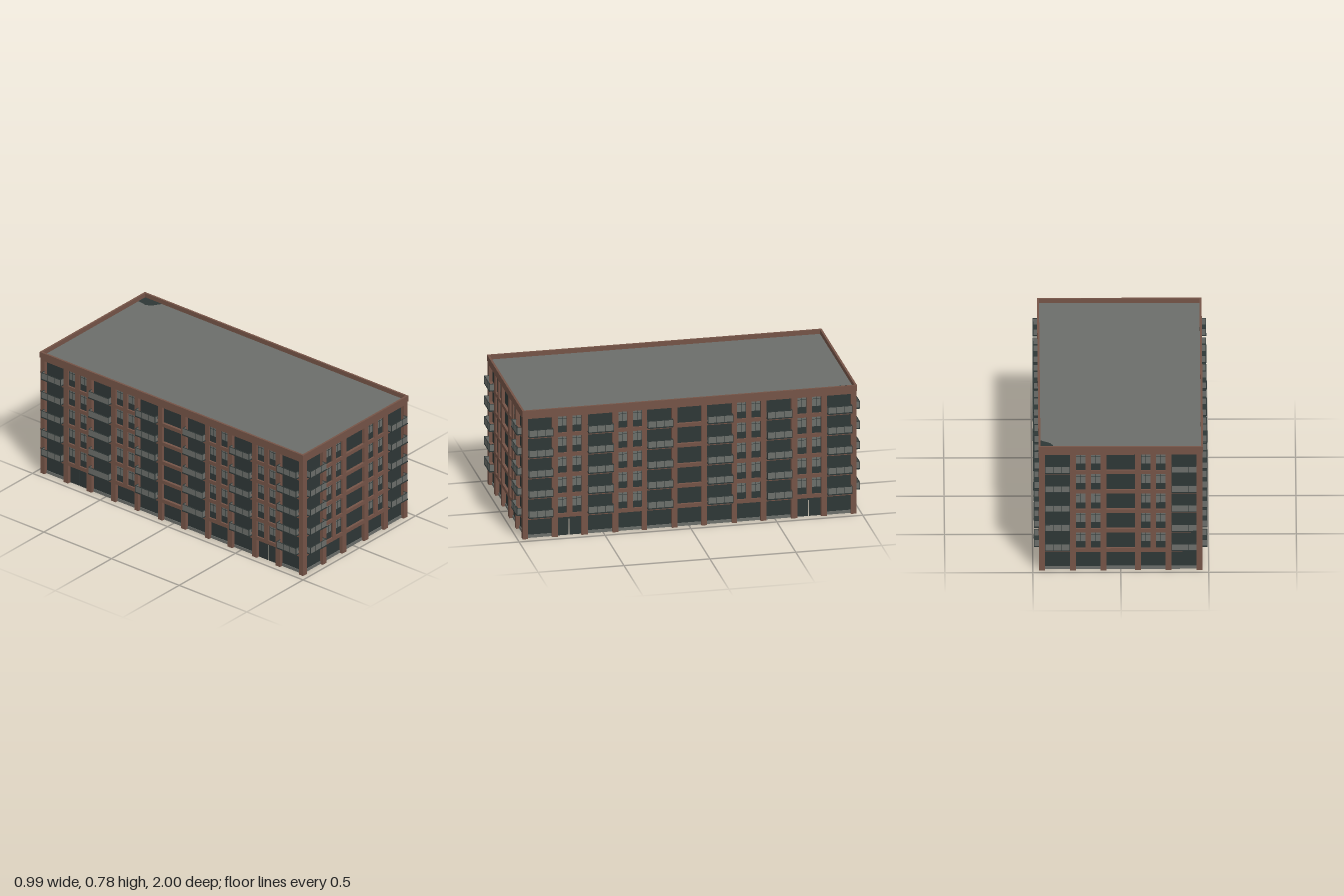
import * as THREE from 'three';
import { mergeGeometries } from 'three/addons/utils/BufferGeometryUtils.js';

const brick = new THREE.MeshStandardMaterial({ color: 0x755447 });
const dark = new THREE.MeshStandardMaterial({ color: 0x2e3736 });
const grey = new THREE.MeshStandardMaterial({ color: 0x6b6e6a });
brick.name = 'brick';
dark.name = 'darkGlass';
grey.name = 'paleGrey';

const HX = 0.465, HZ = 0.971, WALL = 0.028;
const ROOF_Y = 0.75, TOP = 0.78;
const FLOORS = 5, FLOOR_BASE = 0.132, FLOOR_STEP = 0.1225;
const OPEN_LOW = 0.007, OPEN_HIGH = 0.107;
const SHOP_TOP = 0.116, PLINTH = 0.018;

// box given by its limits
function box(x0, x1, y0, y1, z0, z1) {
  const g = new THREE.BoxGeometry(x1 - x0, y1 - y0, z1 - z0);
  return g.translate((x0 + x1) / 2, (y0 + y1) / 2, (z0 + z1) / 2);
}

// mirrors a list of bays about the middle of the wall
function mirrored(bays) {
  return bays.flatMap(b => (b.x === 0 ? [b] : [b, { ...b, x: -b.x }])).sort((a, b) => a.x - b.x);
}

const endWall = {
  half: HX,
  upper: mirrored([
    { x: 0, w: 0.16, type: 'panel' },
    { x: 0.1425, w: 0.055, type: 'window' },
    { x: 0.2275, w: 0.055, type: 'window' },
    { x: 0.36, w: 0.141, type: 'balcony' }
  ]),
  ground: mirrored([
    { x: 0, w: 0.16 }, { x: 0.185, w: 0.14 }, { x: 0.36, w: 0.141 }
  ])
};

const longWall = {
  half: HZ - WALL,
  upper: mirrored([
    { x: 0, w: 0.14, type: 'panel' },
    { x: 0.175, w: 0.145, type: 'balcony' },
    { x: 0.3025, w: 0.053, type: 'window' },
    { x: 0.3875, w: 0.053, type: 'window' },
    { x: 0.52, w: 0.145, type: 'balcony' },
    { x: 0.655, w: 0.053, type: 'window' },
    { x: 0.74, w: 0.053, type: 'window' },
    { x: 0.87, w: 0.14, type: 'balcony' }
  ]),
  ground: mirrored([
    { x: 0, w: 0.14 }, { x: 0.175, w: 0.145 }, { x: 0.345, w: 0.138 },
    { x: 0.52, w: 0.145 }, { x: 0.6975, w: 0.138, door: true }, { x: 0.87, w: 0.14 }
  ])
};

// brick wall with window holes and ground floor notches, outer face at z = 0
function wallGeometry({ half, upper, ground }) {
  const s = new THREE.Shape();
  s.moveTo(-half, 0);
  for (const { x, w } of ground) {
    s.lineTo(x - w / 2, 0);
    s.lineTo(x - w / 2, SHOP_TOP);
    s.lineTo(x + w / 2, SHOP_TOP);
    s.lineTo(x + w / 2, 0);
  }
  s.lineTo(half, 0);
  s.lineTo(half, ROOF_Y);
  s.lineTo(-half, ROOF_Y);
  s.closePath();
  for (let f = 0; f < FLOORS; f++) {
    const y = FLOOR_BASE + f * FLOOR_STEP;
    for (const { x, w } of upper) {
      const h = new THREE.Path();
      h.moveTo(x - w / 2, y + OPEN_LOW);
      h.lineTo(x - w / 2, y + OPEN_HIGH);
      h.lineTo(x + w / 2, y + OPEN_HIGH);
      h.lineTo(x + w / 2, y + OPEN_LOW);
      h.closePath();
      s.holes.push(h);
    }
  }
  return new THREE.ExtrudeGeometry(s, { depth: WALL, bevelEnabled: false }).translate(0, 0, -WALL);
}

function createFacade(name, spec) {
  const parts = {
    darkPanels: [], windowPanes: [], windowFrames: [], balconySlabs: [],
    balconyRails: [], balconyPanels: [], shopGlass: [], plinths: [], doors: []
  };

  const addWindow = (x, w, y) => {
    const l = x - w / 2, r = x + w / 2, split = y + 0.046, top = y + OPEN_HIGH;
    parts.darkPanels.push(box(l, r, y + OPEN_LOW, split, -0.016, -0.01));
    parts.windowPanes.push(box(l, r, split, top, -0.016, -0.012));
    parts.windowFrames.push(
      box(x - 0.001, x + 0.001, split, top, -0.017, -0.01),
      box(l, r, top - 0.018, top - 0.016, -0.017, -0.01),
      box(l, l + 0.0015, split, top, -0.017, -0.01),
      box(r - 0.0015, r, split, top, -0.017, -0.01));
  };

  const addBalcony = (x, w, y) => {
    const l = x - w / 2 - 0.001, r = x + w / 2 + 0.001, d = 0.029, low = y + 0.007, top = y + 0.046;
    parts.darkPanels.push(box(x - w / 2, x + w / 2, y + OPEN_LOW, y + OPEN_HIGH, -0.026, -0.022));
    parts.balconySlabs.push(box(l, r, y, low, -0.004, d));
    parts.balconyPanels.push(
      box(l + 0.001, r - 0.001, low, top - 0.002, d - 0.004, d - 0.002),
      box(l + 0.001, l + 0.003, low, top - 0.002, 0.001, d - 0.004),
      box(r - 0.003, r - 0.001, low, top - 0.002, 0.001, d - 0.004));
    // top rail and posts
    parts.balconyRails.push(
      box(l, r, top - 0.002, top, d - 0.005, d - 0.001),
      box(l, l + 0.004, top - 0.002, top, 0, d - 0.005),
      box(r - 0.004, r, top - 0.002, top, 0, d - 0.005));
    for (let i = 0; i <= 3; i++) {
      const px = l + 0.00125 + (r - l - 0.0025) * i / 3;
      parts.balconyRails.push(box(px - 0.00125, px + 0.00125, low, top - 0.002, d - 0.005, d - 0.001));
    }
  };

  for (let f = 0; f < FLOORS; f++) {
    const y = FLOOR_BASE + f * FLOOR_STEP;
    for (const { x, w, type } of spec.upper) {
      if (type === 'window') addWindow(x, w, y);
      else if (type === 'balcony') addBalcony(x, w, y);
      else parts.darkPanels.push(box(x - w / 2, x + w / 2, y + OPEN_LOW, y + OPEN_HIGH, -0.02, -0.016));
    }
  }

  // ground floor: glazing on a plinth, or a pair of door leaves with a gap
  for (const { x, w, door } of spec.ground) {
    const l = x - w / 2, r = x + w / 2;
    if (door) {
      parts.doors.push(
        box(l, x - 0.003, 0, 0.098, -0.026, -0.021),
        box(x + 0.003, r, 0, 0.098, -0.026, -0.021),
        box(l, r, 0.098, SHOP_TOP, -0.026, -0.021));
    } else {
      parts.shopGlass.push(box(l, r, PLINTH, SHOP_TOP, -0.026, -0.022));
      parts.plinths.push(box(l, r, 0, PLINTH, -0.027, -0.018));
    }
  }

  const paleParts = ['windowPanes', 'balconyPanels', 'plinths'];
  const group = new THREE.Group();
  group.name = name;
  const wall = new THREE.Mesh(wallGeometry(spec), brick);
  wall.name = 'brickWall';
  group.add(wall);
  for (const [part, list] of Object.entries(parts)) {
    if (!list.length) continue;
    const mesh = new THREE.Mesh(mergeGeometries(list), paleParts.includes(part) ? grey : dark);
    mesh.name = part;
    group.add(mesh);
  }
  return group;
}

export function createModel() {
  const model = new THREE.Group();
  model.name = 'apartmentBuilding';

  // four facades
  [['frontFacade', endWall, 0, HZ], ['leftFacade', longWall, 1, HX],
    ['backFacade', endWall, 2, HZ], ['rightFacade', longWall, 3, HX]].forEach(([name, spec, turn, dist]) => {
    const facade = createFacade(name, spec);
    const angle = turn * Math.PI / 2;
    facade.rotation.y = angle;
    facade.position.set(Math.sin(angle) * dist, 0, Math.cos(angle) * dist);
    model.add(facade);
  });

  // parapet ring, slightly proud of the walls
  const px = HX + 0.003, pz = HZ + 0.003, t = 0.012, low = 0.744;
  const parapet = new THREE.Mesh(mergeGeometries([
    box(-px, px, low, TOP, pz - t, pz), box(-px, px, low, TOP, -pz, -pz + t),
    box(px - t, px, low, TOP, -pz + t, pz - t), box(-px, -px + t, low, TOP, -pz + t, pz - t)
  ]), brick);
  parapet.name = 'parapet';
  model.add(parapet);

  // flat roof
  const roof = new THREE.Mesh(box(-px + t, px - t, 0.746, 0.753, -pz + t, pz - t), grey);
  roof.name = 'roof';
  model.add(roof);

  // dark patch in the back corner of the roof
  const patchShape = new THREE.Shape([[0.395, 0.961], [0.385, 0.9], [0.4, 0.87], [0.455, 0.835], [0.455, 0.961]]
    .map(([x, y]) => new THREE.Vector2(x, y)));
  const patch = new THREE.Mesh(new THREE.ShapeGeometry(patchShape), dark);
  patch.name = 'roofPatch';
  patch.rotation.x = -Math.PI / 2;
  patch.position.y = 0.755;
  model.add(patch);

  return model;
}
